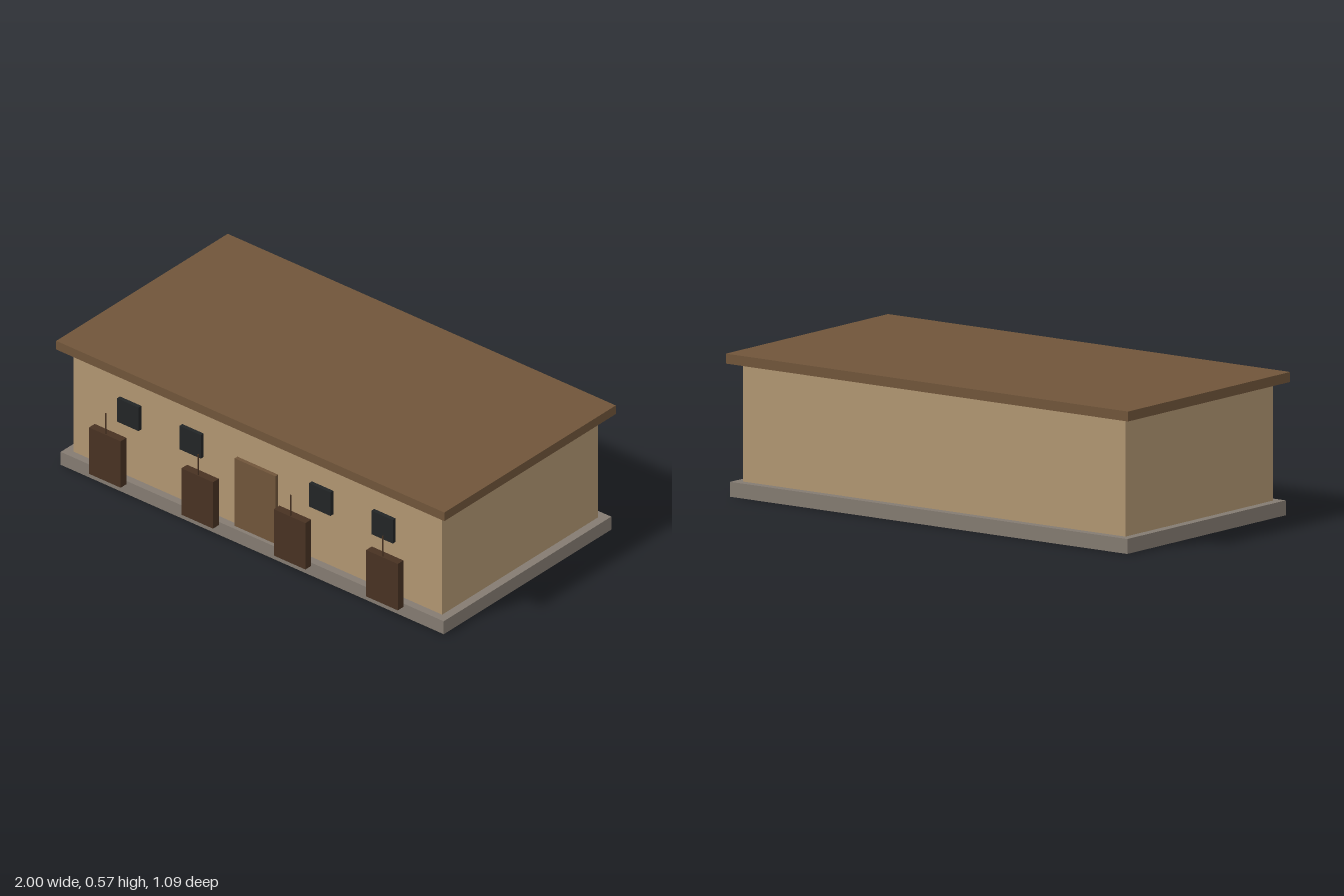
import * as THREE from 'three';

const material = (name, color) => {
  const m = new THREE.MeshStandardMaterial({ color });
  m.name = name;
  return m;
};

export function createModel() {
  const model = new THREE.Group();
  model.name = 'flatRoofedBuilding';

  const stone = material('grey stone', 0x847b71);
  const plaster = material('tan plaster', 0xb19672);
  const wood = material('brown wood', 0x70553a);
  const darkWood = material('dark wood', 0x483222);
  const glass = material('dark glass', 0x222526);

  // Box given by its centre x, width, and its y and z ranges
  const box = (name, mat, x, width, y0, y1, z0, z1) => {
    const mesh = new THREE.Mesh(new THREE.BoxGeometry(width, y1 - y0, z1 - z0), mat);
    mesh.position.set(x, (y0 + y1) / 2, (z0 + z1) / 2);
    mesh.name = name;
    model.add(mesh);
  };

  // Main body
  box('foundation', stone, 0, 1.974, 0, 0.06, -0.533, 0.493);
  box('walls', plaster, 0, 1.9, 0.06, 0.535, -0.497, 0.459);
  box('roof', wood, 0, 2, 0.535, 0.575, -0.545, 0.505);
  box('door', wood, 0, 0.21, 0.06, 0.373, 0.455, 0.476);

  for (const side of [-1, 1]) {
    // Windows on the front wall
    for (const x of [0.334, 0.655]) {
      box('window', glass, side * x, 0.11, 0.302, 0.411, 0.455, 0.476);
    }
    // Free-standing boards, each with a thin post on top
    for (const x of [0.238, 0.714]) {
      box('board', darkWood, side * x, 0.163, 0.06, 0.275, 0.512, 0.547);
      const post = new THREE.Mesh(new THREE.CylinderGeometry(0.003, 0.003, 0.1, 8), darkWood);
      post.position.set(side * x, 0.32, 0.541);
      post.name = 'boardPost';
      model.add(post);
    }
  }
  return model;
}
